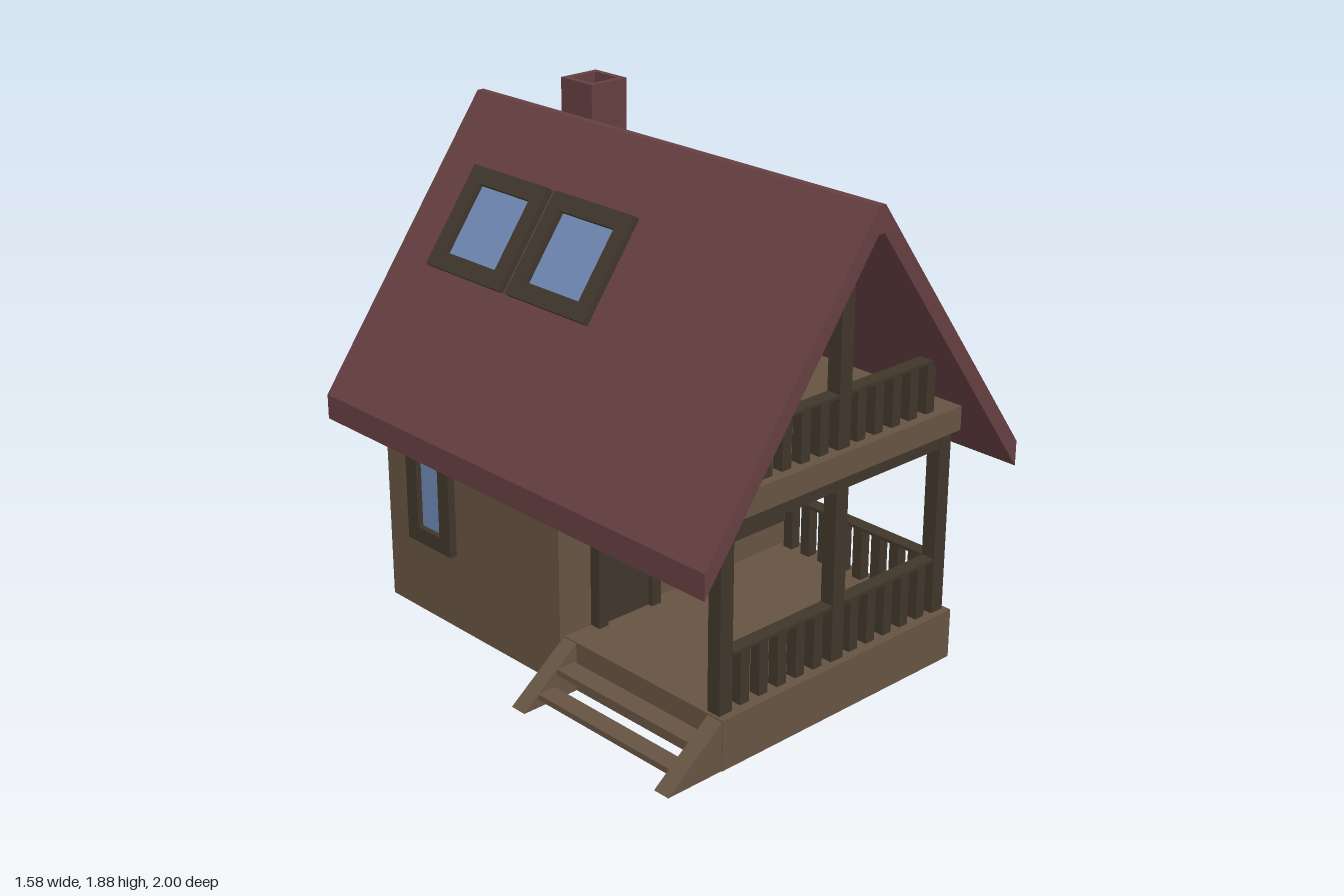
import * as THREE from 'three';

const mat = (color) => new THREE.MeshStandardMaterial({ color, flatShading: true });
const wall = mat(0x665442), dark = mat(0x40372b), roofRed = mat(0x663f41), glass = mat(0x6f88b3);
const CX = 0.025; // ridge line of the house

// Box given by its min and max corners
function box(parent, name, material, [x0, y0, z0], [x1, y1, z1]) {
  const m = new THREE.Mesh(new THREE.BoxGeometry(x1 - x0, y1 - y0, z1 - z0), material);
  m.position.set((x0 + x1) / 2, (y0 + y1) / 2, (z0 + z1) / 2);
  m.name = name;
  parent.add(m);
  return m;
}

// Outline in x/y extruded from z0 to z1
function prism(parent, name, material, points, z0, z1) {
  const shape = new THREE.Shape(points.map(([x, y]) => new THREE.Vector2(x, y)));
  const geo = new THREE.ExtrudeGeometry(shape, { depth: z1 - z0, bevelEnabled: false });
  const m = new THREE.Mesh(geo.translate(0, 0, z0), material);
  m.name = name;
  parent.add(m);
  return m;
}

// Frame around a recessed pane; bottom centre at the origin, facing +z
function opening(parent, name, w, h, border, depth, pane, paneDepth, sill) {
  const g = new THREE.Group();
  g.name = name;
  const x = w / 2, b = border, low = sill ? b : 0;
  for (const s of [-1, 1]) {
    const e = [s * x, s * (x - b)].sort((p, q) => p - q);
    box(g, 'frameSide', dark, [e[0], 0, 0], [e[1], h, depth]);
  }
  box(g, 'frameTop', dark, [b - x, h - b, 0], [x - b, h, depth]);
  if (sill) box(g, 'frameSill', dark, [b - x, 0, 0], [x - b, b, depth]);
  box(g, 'pane', pane, [b - x, low, -0.005], [x - b, h - b, paneDepth]);
  parent.add(g);
  return g;
}

// Thin handrail on square balusters along x, centred on the origin
function railing(parent, name, length, height, offsets) {
  const g = new THREE.Group();
  g.name = name;
  box(g, 'handrail', dark, [-length / 2, height - 0.012, -0.027], [length / 2, height, 0.027]);
  for (const o of offsets)
    box(g, 'baluster', dark, [o - 0.021, 0, -0.021], [o + 0.021, height - 0.012, 0.021]);
  parent.add(g);
  return g;
}

export function createModel() {
  const house = new THREE.Group();
  house.name = 'house';

  // Main body with gable
  prism(house, 'walls', wall,
    [[-0.57, 0], [0.62, 0], [0.62, 0.9], [CX, 1.8], [-0.57, 0.9]], -0.87, 0.11);

  // Roof chevron
  prism(house, 'roof', roofRed, [
    [-0.735, 0.73], [CX - 0.014, 1.75], [CX + 0.014, 1.75], [0.785, 0.73],
    [0.785, 0.825], [CX + 0.014, 1.845], [CX - 0.014, 1.845], [-0.735, 0.825],
  ], -1, 1);

  // Hollow chimney
  const rect = (S, a) => new S([[-a, -a], [a, -a], [a, a], [-a, a]].map((p) => new THREE.Vector2(...p)));
  const flue = rect(THREE.Shape, 0.0865);
  flue.holes.push(rect(THREE.Path, 0.063));
  const chimney = new THREE.Mesh(
    new THREE.ExtrudeGeometry(flue, { depth: 0.63, bevelEnabled: false }), roofRed);
  chimney.rotation.x = -Math.PI / 2;
  chimney.position.set(0.363, 1.25, -0.745);
  chimney.name = 'chimney';
  house.add(chimney);

  // Porch floor and balcony slab
  box(house, 'porchBase', wall, [-0.55, 0, 0.1], [0.595, 0.19, 0.9]);
  box(house, 'balconyFloor', wall, [-0.55, 0.89, 0.1], [0.595, 0.98, 0.9]);

  // Posts and header beam
  for (const x of [-0.51, CX, 0.55])
    box(house, 'porchPost', dark, [x - 0.029, 0.19, 0.817], [x + 0.029, 0.89, 0.873]);
  box(house, 'ridgePost', dark, [CX - 0.029, 0.98, 0.817], [CX + 0.029, 1.76, 0.873]);
  box(house, 'headerBeam', dark, [-0.481, 0.83, 0.819], [0.521, 0.89, 0.871]);

  // Railings: two at the front, one on the left side
  const front = [];
  for (let i = 0; i < 5; i++) front.push(0.09 + i * 0.0875, -0.09 - i * 0.0875);
  railing(house, 'porchRailing', 1.0, 0.215, front).position.set(CX, 0.19, 0.845);
  railing(house, 'balconyRailing', 0.88, 0.197, front).position.set(CX, 0.98, 0.845);
  const side = [];
  for (let i = 0; i < 8; i++) side.push(-0.303 + i * 0.0875);
  const sideRail = railing(house, 'sideRailing', 0.71, 0.215, side);
  sideRail.rotation.y = Math.PI / 2;
  sideRail.position.set(0.55, 0.19, 0.464);

  // Open steps on the right side of the porch
  for (const z of [0.105, 0.83])
    prism(house, 'stepStringer', wall, [[-0.79, 0], [-0.55, 0], [-0.55, 0.185]], z, z + 0.067);
  box(house, 'upperTread', wall, [-0.64, 0.095, 0.17], [-0.56, 0.117, 0.83]);
  box(house, 'lowerTread', wall, [-0.725, 0.03, 0.17], [-0.65, 0.052, 0.83]);

  // Doors
  opening(house, 'porchDoor', 0.295, 0.58, 0.042, 0.045, dark, 0.025, false)
    .position.set(-0.278, 0.19, 0.11);
  opening(house, 'balconyDoor', 0.295, 0.59, 0.042, 0.045, dark, 0.025, false)
    .position.set(0.023, 0.98, 0.11);

  // Wall windows: [name, width, x, z, turn]
  const windows = [
    ['frontWindow', 0.42, 0.31, 0.11, 0],
    ['backWideWindow', 0.41, 0.34, -0.87, Math.PI],
    ['backNarrowWindow', 0.25, -0.285, -0.87, Math.PI],
    ['sideWindow', 0.25, -0.57, -0.593, -Math.PI / 2],
  ];
  for (const [name, w, x, z, turn] of windows) {
    const g = opening(house, name, w, 0.41, 0.062, 0.03, glass, 0.008, true);
    g.position.set(x, 0.3, z);
    g.rotation.y = turn;
  }

  // Skylights lying on the right roof slope
  const pitch = Math.atan2(1.02, 0.746);
  for (const z of [-0.588, -0.138]) {
    const holder = new THREE.Group();
    holder.name = 'skylight';
    const g = opening(holder, 'skylightWindow', 0.415, 0.405, 0.065, 0.036, glass, 0.012, true);
    g.rotation.order = 'YXZ';
    g.rotation.set(-(Math.PI / 2 - pitch), -Math.PI / 2, 0);
    holder.position.set(-0.383, 1.29, z);
    house.add(holder);
  }
  return house;
}
